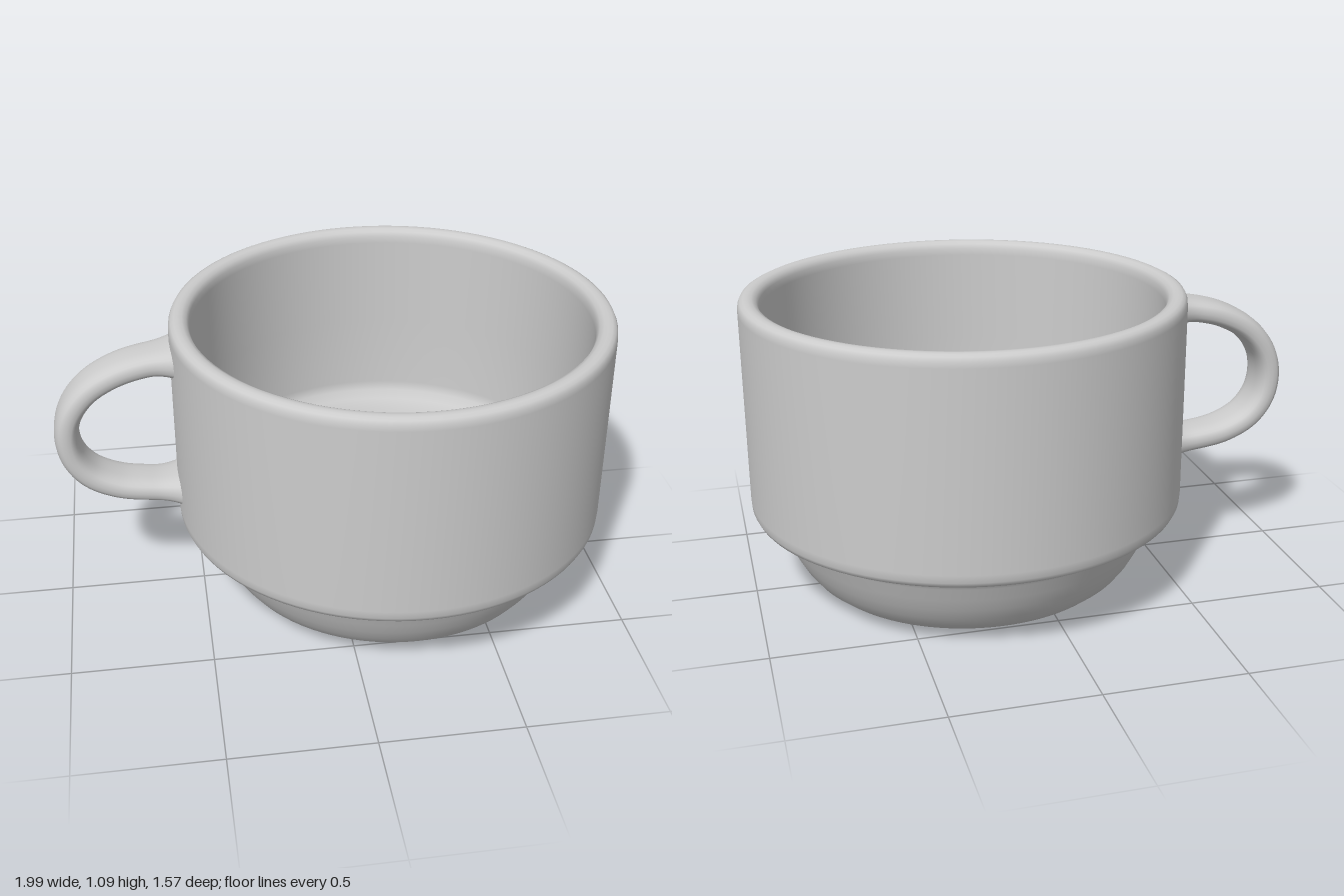
import * as THREE from 'three';

const CUP_X = 0.21;

// Outer wall with stacking step, from base centre up to the rim crown
const OUTER = [
  [0, 0.006], [0.40, 0.006], [0.45, 0.008], [0.50, 0.02], [0.55, 0.042], [0.59, 0.075],
  [0.62, 0.115], [0.645, 0.16], [0.668, 0.21], [0.687, 0.26], [0.698, 0.282],
  [0.712, 0.295], [0.735, 0.302], [0.76, 0.307], [0.775, 0.316], [0.783, 0.332], [0.785, 0.36],
  [0.785, 0.7], [0.785, 1.05], [0.783, 1.07], [0.776, 1.084], [0.764, 1.09], [0.75, 1.092],
];
// Rim, inner wall and bowl, from the rim down to the floor centre
const INNER = [
  [0.735, 1.09], [0.72, 1.082], [0.712, 1.065], [0.71, 1.04], [0.708, 0.7], [0.704, 0.42],
  [0.695, 0.385], [0.67, 0.355], [0.645, 0.32], [0.625, 0.26], [0.6, 0.19],
  [0.57, 0.13], [0.53, 0.095], [0.48, 0.078], [0.4, 0.072], [0, 0.07],
];

// Sweeps a rounded band along a curve in the xy plane, flaring at both ends
function bandGeometry(curve, halfWidth, halfThick, steps, sides) {
  const positions = [], index = [];
  const soften = (v) => Math.sign(v) * Math.pow(Math.abs(v), 0.75);
  for (let i = 0; i <= steps; i++) {
    const u = i / steps;
    const p = curve.getPointAt(u), t = curve.getTangentAt(u);
    const end = Math.min(u, 1 - u);
    const flare = Math.pow(Math.max(0, 1 - end / 0.11), 2);
    const w = halfWidth + 0.04 * flare, h = halfThick + 0.022 * flare;
    for (let j = 0; j < sides; j++) {
      const a = (j / sides) * Math.PI * 2;
      const n = soften(Math.cos(a)) * h;
      positions.push(p.x - t.y * n, p.y + t.x * n, soften(Math.sin(a)) * w);
      if (i < steps) {
        const k = (j + 1) % sides;
        const a0 = i * sides + j, a1 = i * sides + k;
        index.push(a0, a1, a0 + sides, a1, a1 + sides, a0 + sides);
      }
    }
  }
  const geo = new THREE.BufferGeometry();
  geo.setAttribute('position', new THREE.Float32BufferAttribute(positions, 3));
  geo.setIndex(index);
  geo.computeVertexNormals();
  // Keep the winding outward: the first vertex lies on the +normal side
  const nrm = geo.attributes.normal, t0 = curve.getTangentAt(0.5);
  const m = Math.floor(steps / 2) * sides;
  if (nrm.getX(m) * -t0.y + nrm.getY(m) * t0.x < 0) {
    geo.setIndex(index.slice().reverse());
    geo.computeVertexNormals();
  }
  return geo;
}

export function createModel() {
  const model = new THREE.Group();
  model.name = 'cup';
  const glaze = new THREE.MeshStandardMaterial({ color: 0xcccccc });
  glaze.name = 'grey glaze';

  // Round body
  const profile = [...OUTER, ...INNER].map(([r, y]) => new THREE.Vector2(r, y));
  const body = new THREE.Mesh(new THREE.LatheGeometry(profile, 96), glaze);
  body.name = 'body';
  body.position.x = CUP_X;
  model.add(body);

  // Loop handle on the model's right
  const path = new THREE.CatmullRomCurve3([
    [-0.54, 0.966], [-0.66, 0.956], [-0.77, 0.925], [-0.87, 0.865], [-0.935, 0.78],
    [-0.956, 0.69], [-0.94, 0.6], [-0.885, 0.525], [-0.79, 0.475], [-0.67, 0.453], [-0.54, 0.446],
  ].map(([x, y]) => new THREE.Vector3(x, y, 0)));
  const handle = new THREE.Mesh(bandGeometry(path, 0.09, 0.044, 64, 24), glaze);
  handle.name = 'handle';
  model.add(handle);

  return model;
}
